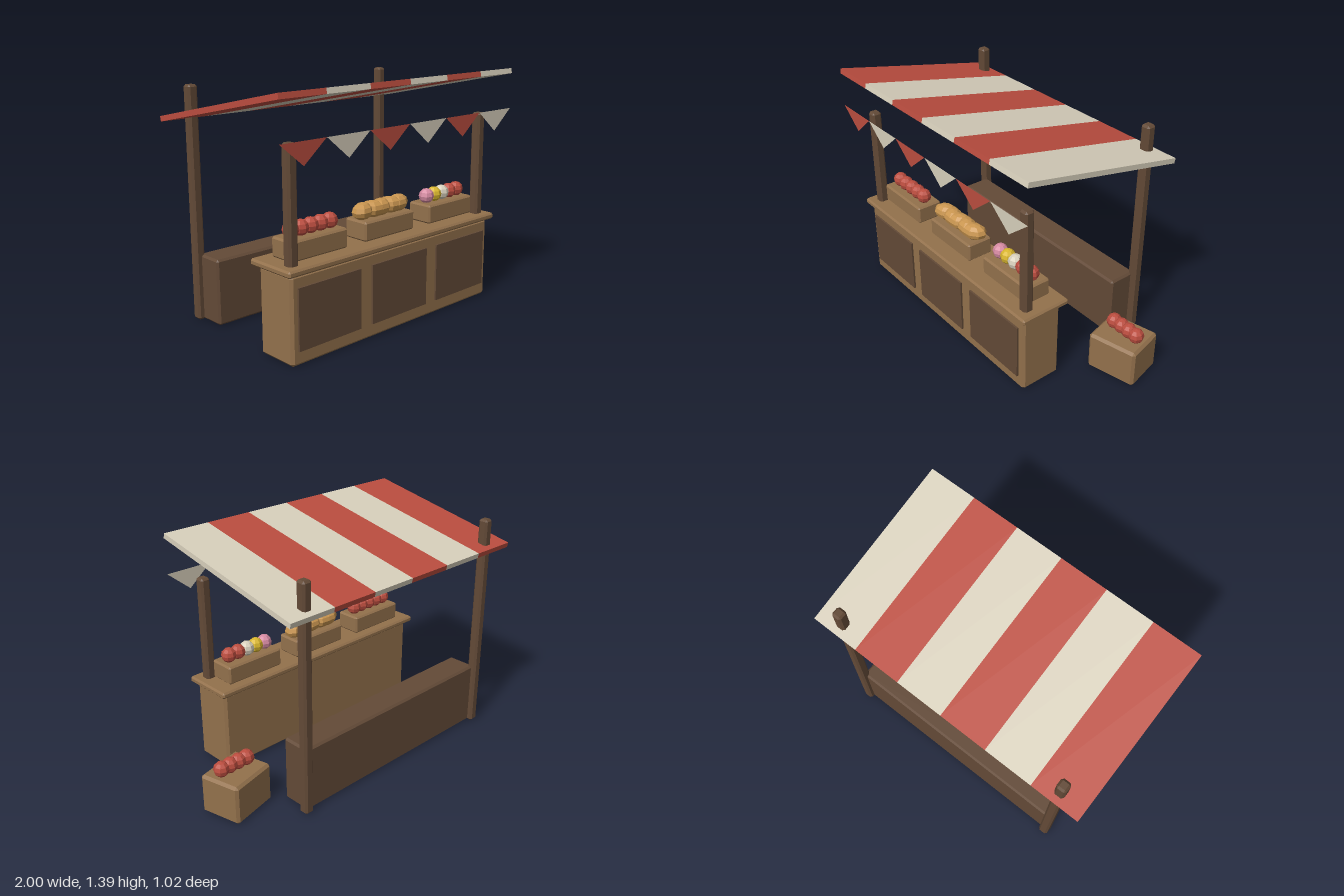
import * as THREE from 'three';
import { ConvexGeometry } from 'three/addons/geometries/ConvexGeometry.js';

const mat = (name, color, extra = {}) => {
  const m = new THREE.MeshStandardMaterial({ color, ...extra });
  m.name = name;
  return m;
};

// Box with flat chamfers on every edge, built as a hull of 24 points
function chamferBox(w, h, d, c = 0.012) {
  const pts = [];
  for (const sx of [-1, 1]) for (const sy of [-1, 1]) for (const sz of [-1, 1]) {
    for (let full = 0; full < 3; full++) {
      const [x, y, z] = [w, h, d].map((s, i) => s / 2 - (i === full ? 0 : c));
      pts.push(new THREE.Vector3(sx * x, sy * y, sz * z));
    }
  }
  return new ConvexGeometry(pts);
}

export function createModel() {
  const root = new THREE.Group();
  root.name = 'marketStall';
  const flat = { flatShading: true };
  const wood = mat('wood', 0x93714c, flat);
  const darkWood = mat('darkWood', 0x634a37, flat);
  const red = mat('red', 0xbb4d3f, { flatShading: true, side: THREE.DoubleSide });
  const cream = mat('cream', 0xd8d0bc, { flatShading: true, side: THREE.DoubleSide });
  const bread = mat('breadCrust', 0xca9650, flat);
  const pink = mat('pink', 0xd68aa2, flat);
  const yellow = mat('yellow', 0xd9b62e, flat);

  const add = (name, geo, material, x, y, z, parent = root) => {
    const m = new THREE.Mesh(geo, material);
    m.name = name;
    m.position.set(x, y, z);
    parent.add(m);
    return m;
  };
  const cx = -0.126; // centre line of the stall

  // Counter with worktop and three front panels
  add('counter', chamferBox(1.535, 0.48, 0.255, 0.015), wood, cx, 0.24, 0.3125);
  add('counterTop', chamferBox(1.6, 0.037, 0.314, 0.01), wood, cx, 0.4985, 0.31);
  for (const i of [-1, 0, 1])
    add('counterPanel', new THREE.BoxGeometry(0.428, 0.335, 0.02), darkWood, cx - 0.002 + i * 0.513, 0.2475, 0.441);

  // Posts: short at the front, tall at the back
  for (const s of [-1, 1]) {
    add('frontPost', chamferBox(0.06, 1.13, 0.06), darkWood, cx + s * 0.722, 0.565, 0.387);
    add('backPost', chamferBox(0.06, 1.34, 0.06), darkWood, cx + s * 0.722, 0.67, -0.44);
  }

  // Low bench between the back posts
  add('backBench', chamferBox(1.435, 0.385, 0.18), darkWood, cx, 0.1925, -0.35);

  // Striped sloping awning and the pennants below its front edge
  const awning = new THREE.Group();
  awning.name = 'awning';
  awning.position.set(0, 1.267, 0);
  awning.rotation.x = -0.206;
  root.add(awning);
  const stripe = 1.745 / 6;
  const triangle = new THREE.ShapeGeometry(new THREE.Shape([
    new THREE.Vector2(-stripe / 2, 0), new THREE.Vector2(0, -0.12), new THREE.Vector2(stripe / 2, 0),
  ]));
  for (let i = 0; i < 6; i++) {
    const x = -1 + stripe * (i + 0.5);
    const m = i % 2 ? cream : red;
    add('awningStripe', new THREE.BoxGeometry(stripe, 0.03, 1.034), m, x, 0, 0, awning);
    add('pennant', triangle, m, x, 1.153, 0.505);
  }

  // Row of round fruit along x
  const fruitGeo = new THREE.SphereGeometry(0.045, 8, 6);
  const fruitRow = (x, y, z, step, mats) => mats.forEach((m, i) =>
    add('fruit', fruitGeo, m, x + (i - (mats.length - 1) / 2) * step, y, z));

  // Crates on the counter
  for (const i of [-1, 0, 1])
    add('counterCrate', chamferBox(0.385, 0.11, 0.16, 0.01), wood, cx + i * 0.513, 0.571, 0.29);
  fruitRow(-0.637, 0.663, 0.29, 0.066, [red, red, red, red, red]);
  fruitRow(0.388, 0.663, 0.29, 0.066, [pink, yellow, cream, red, red]);

  // Bread loaves, turned alternately
  const loafGeo = new THREE.SphereGeometry(1, 8, 6).scale(0.08, 0.048, 0.055);
  for (let i = 0; i < 5; i++) {
    const loaf = add('loaf', loafGeo, bread, cx + (i - 2) * 0.069, 0.667, 0.29);
    loaf.rotation.y = i % 2 ? -0.35 : 0.35;
  }

  // Turned crate of fruit on the ground beside the stall
  const crate = add('groundCrate', chamferBox(0.297, 0.232, 0.249, 0.015), wood, 0.826, 0.116, -0.13);
  crate.rotation.y = 0.232;
  fruitRow(0.836, 0.275, -0.13, 0.056, [red, red, red, red]);

  return root;
}
